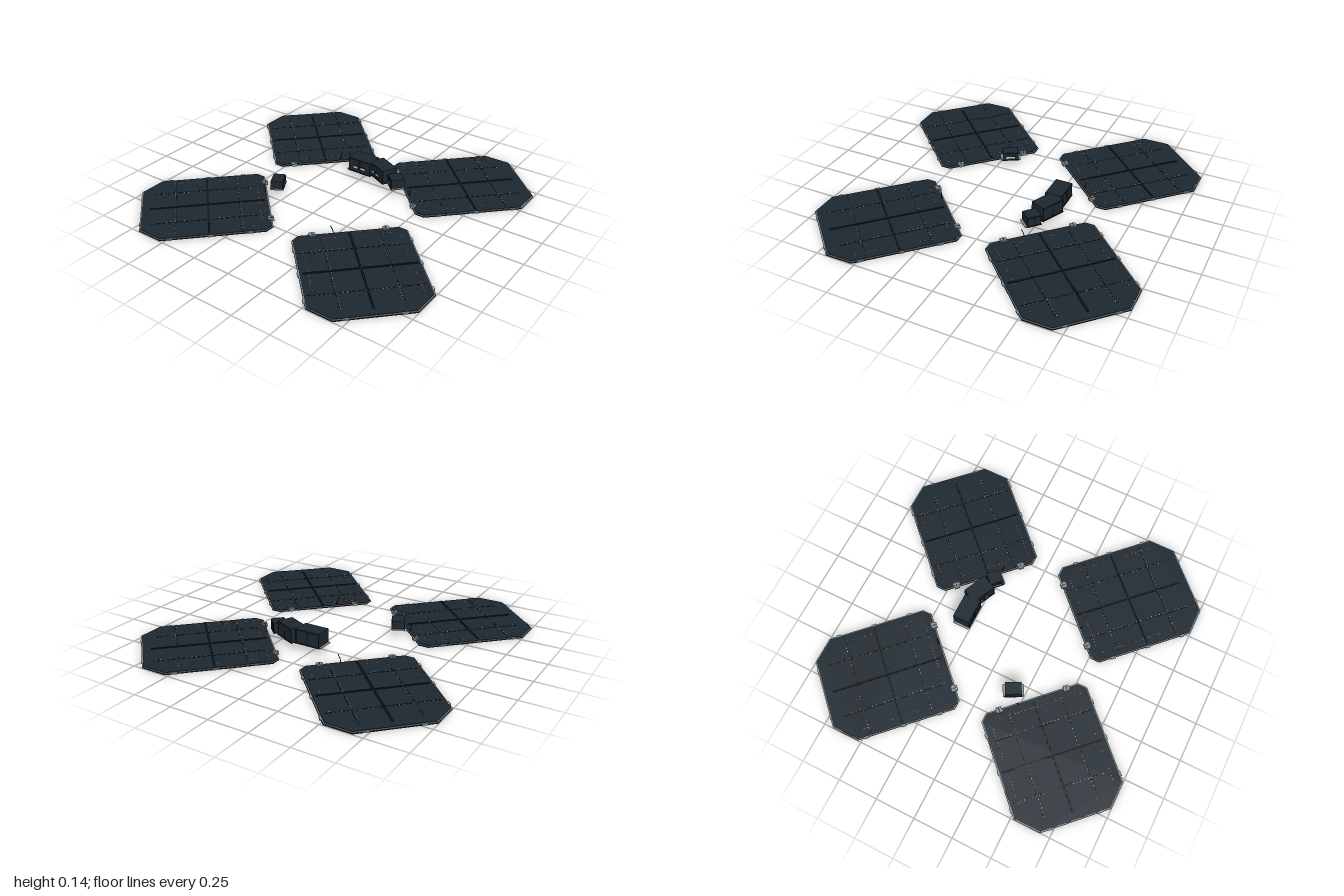
import * as THREE from 'three';
import { mergeGeometries } from 'three/addons/utils/BufferGeometryUtils.js';

const mat = (name, color) => {
  const m = new THREE.MeshStandardMaterial({ color });
  m.name = name;
  return m;
};

export function createModel() {
  const root = new THREE.Group();
  root.name = 'solarPanelStation';
  const deckMat = mat('deckSlate', 0x1c2830);
  const seamMat = mat('seamBlack', 0x11161a);
  const underMat = mat('undersideBlue', 0x526780);
  const rimMat = mat('rimGrey', 0x8b9396);
  const clipMat = mat('clipGrey', 0x8d9293);
  const lightMat = mat('windowPale', 0xc4cccc);
  const orangeMat = mat('markerOrange', 0xc05a36);

  const add = (parent, name, geo, material) => {
    const m = new THREE.Mesh(geo, material);
    m.name = name;
    parent.add(m);
    return m;
  };
  const box = (w, h, d, x, y, z) => new THREE.BoxGeometry(w, h, d).translate(x, y, z);

  // Panel outline: x runs outward from the centre, small inner and large outer chamfers
  const U0 = 0.424, U1 = 1.195, V = 0.339, UC = 0.795;
  const slab = (inset, top, depth) => {
    const a = U0 + inset, b = U1 - inset, v = V - inset;
    const ci = 0.043 - inset * 0.58, co = 0.12 - inset * 0.58;
    const s = new THREE.Shape([
      [a, -v + ci], [a + ci, -v], [b - co, -v], [b, -v + co],
      [b, v - co], [b - co, v], [a + ci, v], [a, v - ci],
    ].map(([x, y]) => new THREE.Vector2(x, y)));
    return new THREE.ExtrudeGeometry(s, { depth, bevelEnabled: false })
      .rotateX(Math.PI / 2).translate(0, top, 0);
  };

  function makePanel(index) {
    const g = new THREE.Group();
    g.name = 'panel' + (index + 1);
    let seed = 17 + index * 31;
    const rnd = () => (seed = (seed * 16807) % 2147483647) / 2147483647;

    add(g, 'frame', slab(0, 0.009, 0.007), seamMat);
    add(g, 'rim', slab(0.001, 0.011, 0.002), rimMat);
    add(g, 'deck', slab(0.007, 0.0145, 0.0035), deckMat);
    add(g, 'underside', slab(0.01, 0.002, 0.002), underMat);

    // Raised cross ribs and finer seams
    const seams = [
      box(0.69, 0.005, 0.011, UC, 0.0165, 0),
      box(0.011, 0.005, 0.63, UC, 0.0165, 0),
    ];
    for (const s of [-1, 1]) {
      seams.push(box(0.66, 0.002, 0.004, UC, 0.0152, s * 0.17));
      seams.push(box(0.004, 0.002, 0.63, UC + s * 0.19, 0.0152, 0));
    }
    add(g, 'ribs', mergeGeometries(seams), seamMat);

    // Joint lines beneath, all four panels sharing one direction
    const joints = index % 2
      ? [-0.255, -0.085, 0.085, 0.255].map((u) => box(0.002, 0.001, 0.65, UC + u, 0.0001, 0))
      : [-0.17, 0, 0.17].map((v) => box(0.74, 0.001, 0.002, UC + 0.01, 0.0001, v));
    add(g, 'undersideJoints', mergeGeometries(joints), seamMat);

    // Rivets and markers along the seams
    const rivets = [], markers = [];
    for (let i = 0; i < 26; i++) {
      const t = i / 25 - 0.5;
      for (const s of [-1, 1]) {
        const spots = [[UC + t * 0.64, s * 0.165], [UC + s * 0.195, t * 0.58]];
        for (const [u, v] of spots) {
          const r = rnd();
          if (r < 0.45) rivets.push(box(0.005, 0.002, 0.005, u, 0.0158, v));
          else if (r < 0.7) markers.push(box(0.006, 0.002, 0.006, u, 0.0158, v));
        }
        if (rnd() < 0.5) markers.push(box(0.008, 0.002, 0.005, UC - 0.03 + t * 0.55, 0.0155, s * 0.285));
      }
      if (rnd() < 0.6) markers.push(box(0.005, 0.002, 0.008, U0 + 0.06, 0.0155, t * 0.5));
    }
    add(g, 'rivets', mergeGeometries(rivets), lightMat);
    add(g, 'markers', mergeGeometries(markers), orangeMat);

    // Edge lugs
    const lugs = [];
    for (const s of [-1, 1])
      for (const u of [0.56, 0.79, 1.02]) lugs.push(box(0.03, 0.009, 0.012, u, 0.0075, s * V));
    for (const v of [-0.15, 0.15]) lugs.push(box(0.012, 0.009, 0.03, U1 - 0.003, 0.0075, v));
    add(g, 'edgeLugs', mergeGeometries(lugs), rimMat);

    // Docking clips on the inner edge
    for (const s of [-1, 1]) {
      add(g, 'dockingClip', mergeGeometries([
        box(0.036, 0.016, 0.034, U0 + 0.007, 0.012, s * 0.216),
        box(0.012, 0.01, 0.042, U0 + 0.012, 0.017, s * 0.216),
      ]), clipMat);
      add(g, 'clipSlot', box(0.022, 0.002, 0.005, U0 + 0.007, 0.0216, s * 0.216), seamMat);
    }

    // Bent whisker antenna
    const curve = new THREE.CatmullRomCurve3([
      new THREE.Vector3(0.438, 0.012, 0.092),
      new THREE.Vector3(0.438, 0.04, 0.097),
      new THREE.Vector3(0.438, 0.07, 0.11),
    ]);
    add(g, 'antenna', new THREE.TubeGeometry(curve, 8, 0.0025, 6), seamMat);
    return g;
  }

  for (let i = 0; i < 4; i++) {
    const p = makePanel(i);
    p.rotation.y = -Math.PI / 4 - i * Math.PI / 2;
    root.add(p);
  }

  // Floating cabin modules, long side along local x, windows on one long side
  function makeModule({ name, x, z, turn, len, wid, top, windows, paneWidth, side, sills }) {
    const g = new THREE.Group();
    g.name = name;
    const y0 = 0.05, h = top - y0, mid = y0 + h / 2;
    add(g, 'hull', box(len, h - 0.004, wid, 0, mid + 0.002, 0), deckMat);
    add(g, 'basePlate', box(len + 0.008, 0.005, wid + 0.008, 0, y0 + 0.0025, 0), seamMat);
    const trim = [];
    for (const s of [-1, 1]) {
      trim.push(box(len, 0.005, 0.004, 0, top - 0.006, s * wid / 2));
      for (const t of [-0.5, 0, 0.5])
        trim.push(box(0.004, h - 0.008, 0.004, t * (len - 0.004), mid, s * wid / 2));
    }
    add(g, 'trim', mergeGeometries(trim), seamMat);
    const face = side * (wid / 2 + 0.002);
    const paneY = y0 + h * 0.39;
    add(g, 'windowFrames', mergeGeometries(windows.map((w) => box(paneWidth + 0.008, 0.02, 0.003, w, paneY, face))), seamMat);
    add(g, 'windows', mergeGeometries(windows.map((w) => box(paneWidth, 0.012, 0.005, w, paneY, face))), lightMat);
    // Pale sills at the open ends
    for (const s of sills)
      add(g, 'endSill', box(0.016, 0.004, wid, s * (len / 2 + 0.006), y0 + 0.004, 0), clipMat);
    g.position.set(x, 0, z);
    g.rotation.y = -turn * Math.PI / 180;
    root.add(g);
  }
  makeModule({ name: 'mainCabin', x: 0, z: -0.298, turn: 0, len: 0.16, wid: 0.105, top: 0.142,
    windows: [-0.027, 0.025], paneWidth: 0.03, side: 1, sills: [-1] });
  makeModule({ name: 'middleCabin', x: 0.15, z: -0.29, turn: 25, len: 0.155, wid: 0.1, top: 0.141,
    windows: [-0.035, 0.015], paneWidth: 0.03, side: 1, sills: [] });
  makeModule({ name: 'endCabin', x: 0.275, z: -0.245, turn: 43, len: 0.085, wid: 0.08, top: 0.115,
    windows: [0], paneWidth: 0.05, side: 1, sills: [1] });
  makeModule({ name: 'looseCabin', x: -0.32, z: 0.18, turn: 62, len: 0.1, wid: 0.075, top: 0.105,
    windows: [0], paneWidth: 0.055, side: -1, sills: [-1, 1] });

  return root;
}
